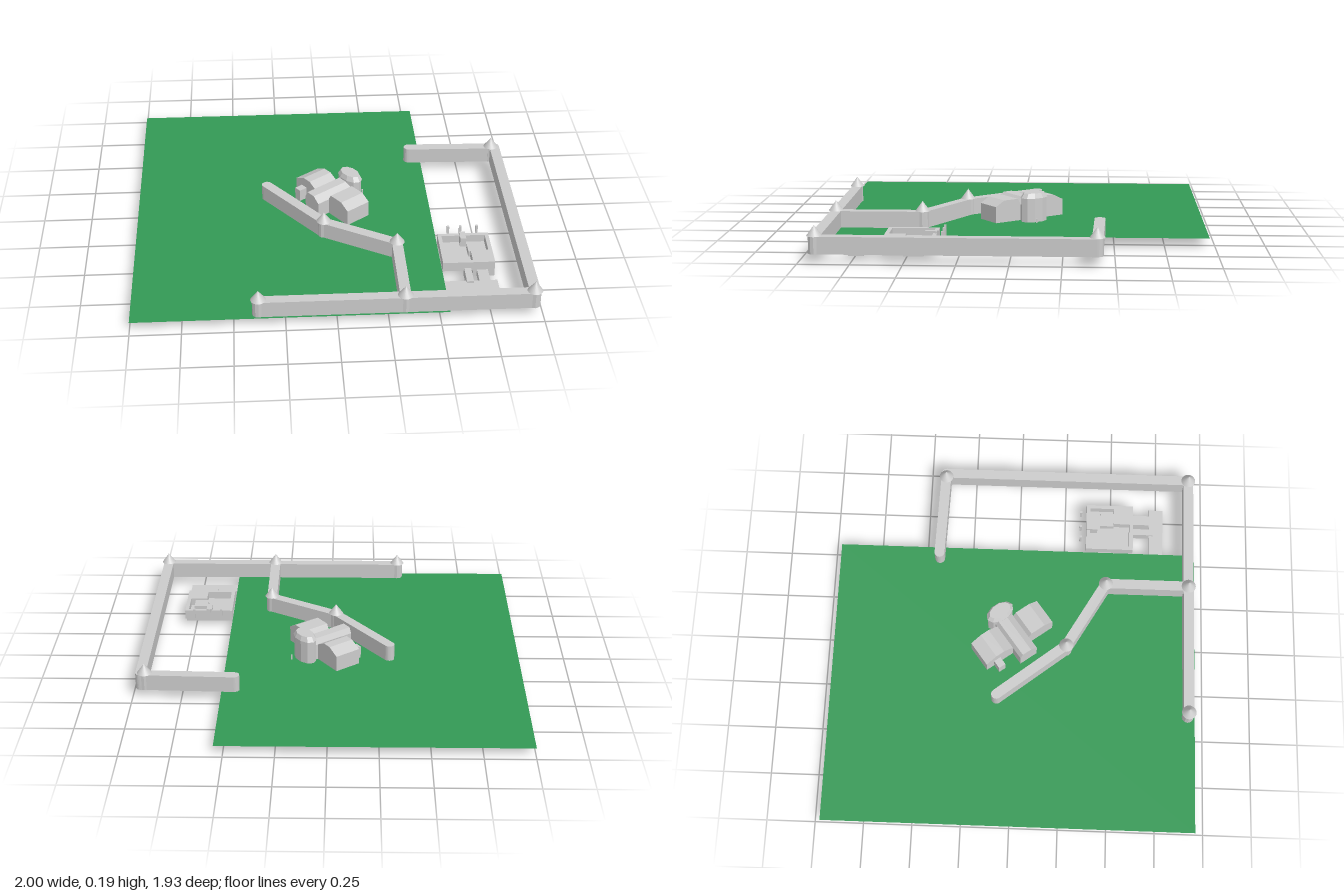
import * as THREE from 'three';

const GROUND = 0.045, WALL_H = 0.085;

export function createModel() {
  const root = new THREE.Group();
  const stone = new THREE.MeshStandardMaterial({ color: 0xcccccc, flatShading: true });
  const smooth = new THREE.MeshStandardMaterial({ color: 0xcccccc });
  const grass = new THREE.MeshStandardMaterial({ color: 0x339955, side: THREE.DoubleSide });

  const add = (parent, name, geo, mat = stone) => {
    const m = new THREE.Mesh(geo, mat);
    m.name = name;
    parent.add(m);
    return m;
  };
  // Box given by its limits on each axis
  const box = (parent, name, x0, x1, y0, y1, z0, z1) =>
    add(parent, name, new THREE.BoxGeometry(x1 - x0, y1 - y0, z1 - z0))
      .position.set((x0 + x1) / 2, (y0 + y1) / 2, (z0 + z1) / 2);

  // Lawn
  const lawn = add(root, 'lawn', new THREE.PlaneGeometry(1.545, 1.93).rotateX(-Math.PI / 2), grass);
  lawn.position.set(-0.2275, GROUND, -0.0075);

  // Curtain walls: straight runs with rounded ends
  const wall = ([ax, az], [bx, bz], base = GROUND) => {
    const dx = bx - ax, dz = bz - az, len = Math.hypot(dx, dz);
    const r = 0.027, half = Math.PI / 2;
    const s = new THREE.Shape();
    s.absarc(len / 2, 0, r, -half, half);
    s.absarc(-len / 2, 0, r, half, 3 * half);
    const geo = new THREE.ExtrudeGeometry(s, {
      depth: GROUND + WALL_H - base, bevelEnabled: false, curveSegments: 5,
    });
    geo.rotateX(-half);
    const m = add(root, 'curtainWall', geo);
    m.position.set((ax + bx) / 2, base, (az + bz) / 2);
    m.rotation.y = -Math.atan2(dz, dx);
  };
  const A = [-0.38, 0.92], B = [0.33, 0.92], C = [0.957, 0.92], D = [0.957, -0.415];
  const E = [0.33, 0.475], F = [-0.03, 0.27], G = [-0.315, -0.09], H = [0.48, -0.43];
  [[A, B], [B, C], [C, D], [D, H], [B, E], [E, F]].forEach(([p, q]) => wall(p, q));
  wall(F, G, 0.042);

  // Wall towers with pointed roofs
  for (const [x, z] of [A, B, C, [0.937, -0.415], E, F]) {
    const tower = new THREE.Group();
    tower.name = 'wallTower';
    tower.position.set(x, 0, z);
    add(tower, 'towerBody', new THREE.CylinderGeometry(0.031, 0.031, WALL_H, 12))
      .position.y = GROUND + WALL_H / 2;
    add(tower, 'towerRoof', new THREE.ConeGeometry(0.038, 0.052, 20), smooth)
      .position.y = GROUND + WALL_H + 0.026;
    root.add(tower);
  }

  // Keep, turned on the lawn: three blocks with flat-topped sloping roofs
  const keep = new THREE.Group();
  keep.name = 'keep';
  keep.position.set(0.03, 0, -0.02);
  keep.rotation.y = 0.64;
  root.add(keep);
  // Profile lies across z, the prism runs along x
  const block = (name, halfWidth, z0, z1, t0, t1) => {
    const s = new THREE.Shape([
      [z0, GROUND], [z1, GROUND], [z1, 0.13], [t1, 0.16], [t0, 0.16], [z0, 0.13],
    ].map(p => new THREE.Vector2(...p)));
    const geo = new THREE.ExtrudeGeometry(s, { depth: 2 * halfWidth, bevelEnabled: false });
    geo.translate(0, 0, -halfWidth).rotateY(-Math.PI / 2);
    add(keep, name, geo);
  };
  block('rearHall', 0.073, -0.212, -0.043, -0.15, -0.1);
  block('mainHall', 0.145, -0.045, 0.06, -0.03, 0.022);
  block('frontHall', 0.073, 0.058, 0.212, 0.075, 0.16);
  box(keep, 'sideAnnex', -0.12, -0.07, GROUND, 0.11, -0.165, -0.125);

  // Oval stair turret at the side of the main hall
  const turret = new THREE.Group();
  turret.name = 'turret';
  turret.position.set(0.12, 0, 0.005);
  turret.scale.set(0.7, 1, 1.15);
  add(turret, 'turretBody', new THREE.CylinderGeometry(0.066, 0.066, 0.125, 10))
    .position.y = GROUND + 0.0625;
  add(turret, 'turretCap', new THREE.CylinderGeometry(0.054, 0.07, 0.025, 10))
    .position.y = 0.1825;
  keep.add(turret);
  box(root, 'markerPost', 0.195, 0.203, GROUND, 0.07, -0.109, -0.101);

  // Sunken gatehouse: lower footing, link beams and front slab
  const gate = new THREE.Group();
  gate.name = 'gatehouse';
  root.add(gate);
  box(gate, 'footing', 0.49, 0.81, 0, 0.044, 0.42, 0.52);
  box(gate, 'footingSide', 0.70, 0.81, 0.004, 0.044, 0.52, 0.62);
  box(gate, 'frontSlab', 0.49, 0.81, 0, 0.044, 0.71, 0.785);
  box(gate, 'linkBeam', 0.655, 0.69, 0.01, 0.055, 0.61, 0.73);
  box(gate, 'linkBeam', 0.72, 0.775, 0.01, 0.044, 0.61, 0.72);

  // Upper tray: floor, rim and stepped interior
  box(gate, 'trayFloor', 0.548, 0.81, 0.04, 0.05, 0.365, 0.62);
  box(gate, 'rimBack', 0.548, 0.81, 0.05, 0.09, 0.365, 0.385);
  box(gate, 'rimFront', 0.548, 0.81, 0.05, 0.09, 0.6, 0.62);
  for (const x of [0.548, 0.79]) box(gate, 'rimSide', x, x + 0.02, 0.05, 0.09, 0.385, 0.6);
  box(gate, 'innerBlock', 0.7, 0.79, 0.05, 0.09, 0.515, 0.6);
  box(gate, 'innerStep', 0.69, 0.765, 0.05, 0.08, 0.44, 0.515);
  box(gate, 'innerStep', 0.66, 0.69, 0.05, 0.1, 0.365, 0.425);

  // Slim posts behind the tray
  for (const x of [0.607, 0.67, 0.755]) box(gate, 'post', x - 0.006, x + 0.006, 0.06, 0.115, 0.328, 0.34);
  return root;
}
